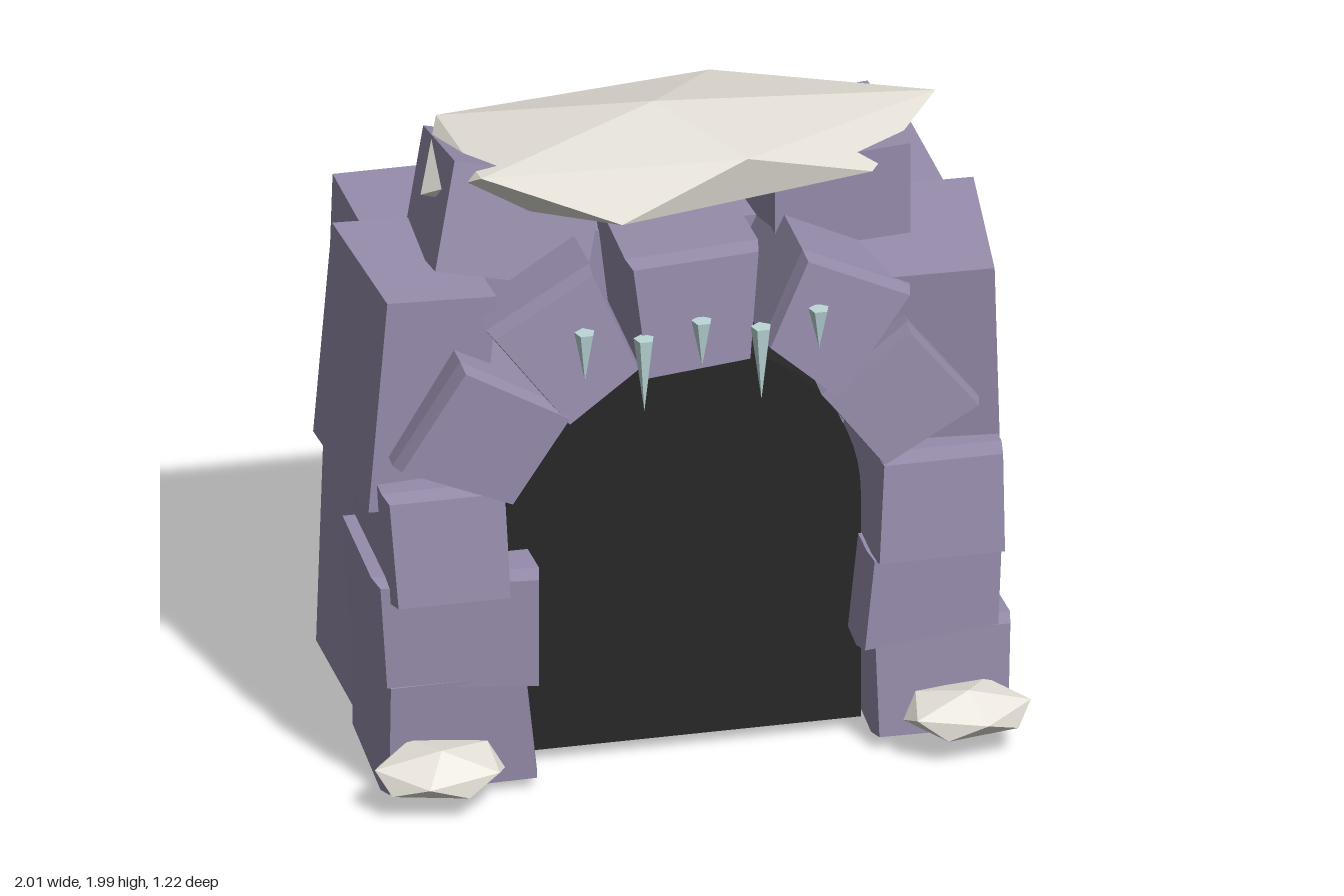
import * as THREE from 'three';

const mat = (name, color) => {
  const m = new THREE.MeshStandardMaterial({ color });
  m.name = name;
  return m;
};

// Non-indexed geometry from a list of triangles, so every face stays flat
function facets(tris) {
  const g = new THREE.BufferGeometry();
  g.setAttribute('position', new THREE.Float32BufferAttribute(tris.flat(2), 3));
  g.computeVertexNormals();
  return g;
}

// Rough stone: front outline (anticlockwise x, y), chamfered, swept back to zBack
function stoneGeometry(quad, zFront, zBack, { tiltX = 0, tiltY = 0, bevel = 0.06, swell = 1.06, back = 1, shift = 0 } = {}) {
  const cx = quad.reduce((s, p) => s + p[0], 0) / 4;
  const cy = quad.reduce((s, p) => s + p[1], 0) / 4;
  const ring = (scale, z, lean, dx) => quad.map(([x, y]) => [
    cx + (x - cx) * scale + dx,
    cy + (y - cy) * scale,
    z + lean * (tiltX * (x - cx) + tiltY * (y - cy)),
  ]);
  const rings = [ring(1, zFront, 1, 0), ring(swell, zFront - bevel, 1, 0), ring(back, zBack, 0, shift)];
  const [f, , b] = rings;
  const tris = [[f[0], f[1], f[2]], [f[0], f[2], f[3]], [b[0], b[2], b[1]], [b[0], b[3], b[2]]];
  for (let k = 0; k < 2; k++) {
    for (let i = 0; i < 4; i++) {
      const j = (i + 1) % 4, p = rings[k], q = rings[k + 1];
      tris.push([p[i], q[i], q[j]], [p[i], q[j], p[j]]);
    }
  }
  return facets(tris);
}

// Faceted boulder: two staggered rings of five points closed by a top and a bottom point
function boulderGeometry(top, upper, lower, bottom) {
  const tris = [];
  for (let i = 0; i < 5; i++) {
    const j = (i + 1) % 5;
    tris.push([top, upper[j], upper[i]], [upper[j], lower[i], upper[i]],
      [upper[j], lower[j], lower[i]], [bottom, lower[i], lower[j]]);
  }
  return facets(tris);
}

export function createModel() {
  const model = new THREE.Group();
  model.name = 'stoneGateway';
  const purple = mat('purpleStone', 0x978dac);
  const pale = mat('paleRock', 0xe2ded5);
  const dark = mat('darkOpening', 0x282828);
  const ice = mat('paleIce', 0xbcd8d8);

  const add = (name, geometry, material) => {
    const mesh = new THREE.Mesh(geometry, material);
    mesh.name = name;
    model.add(mesh);
    return mesh;
  };

  // Large block behind the arch
  add('backBlock', stoneGeometry([[-0.9, 0.04], [0.9, 0.015], [0.89, 1.575], [-0.85, 1.575]], -0.07, -0.61,
    { bevel: 0.01, swell: 1, shift: -0.01, tiltX: 0.01 }), purple);

  // Dark arched opening
  const arch = new THREE.Shape();
  arch.moveTo(-0.54, 0.05);
  arch.lineTo(0.54, 0.05);
  arch.lineTo(0.54, 0.79);
  arch.absarc(0, 0.79, 0.54, 0, Math.PI, false);
  arch.closePath();
  const opening = new THREE.ExtrudeGeometry(arch, { depth: 0.34, bevelEnabled: false, curveSegments: 16 });
  add('opening', opening.translate(0, 0, -0.08), dark);

  // Pillar stones, arch stones and keystone
  const stones = [
    ['rightPillarBase', [[-0.92, 0.02], [-0.48, 0.045], [-0.52, 0.4], [-0.92, 0.38]], 0.42, { tiltX: 0.08, tiltY: 0.06 }],
    ['rightPillarMiddle', [[-0.93, 0.38], [-0.48, 0.36], [-0.48, 0.71], [-0.95, 0.71]], 0.43, { tiltX: 0.1 }],
    ['rightPillarTop', [[-0.91, 0.67], [-0.57, 0.67], [-0.58, 1], [-0.93, 1]], 0.455, { tiltY: -0.1 }],
    ['leftPillarBase', [[0.56, 0.055], [0.95, 0.05], [0.96, 0.38], [0.55, 0.38]], 0.41, { tiltY: -0.04 }],
    ['leftPillarMiddle', [[0.51, 0.36], [0.92, 0.39], [0.93, 0.65], [0.54, 0.65]], 0.43, { tiltX: -0.06 }],
    ['leftPillarTop', [[0.55, 0.65], [0.93, 0.65], [0.93, 0.96], [0.57, 0.96]], 0.45, { tiltY: -0.08, bevel: 0.07 }],
    ['rightArchLower', [[-0.89, 1.1], [-0.56, 0.97], [-0.39, 1.24], [-0.7, 1.41]], 0.45, { tiltX: 0.08 }],
    ['rightArchUpper', [[-0.39, 1.22], [-0.18, 1.37], [-0.31, 1.68], [-0.61, 1.51]], 0.445, { tiltY: -0.1 }],
    ['keystone', [[-0.15, 1.34], [0.16, 1.37], [0.19, 1.71], [-0.19, 1.69]], 0.445, { tiltY: -0.06 }],
    ['leftArchUpper', [[0.22, 1.4], [0.43, 1.21], [0.65, 1.51], [0.34, 1.66]], 0.445, { tiltX: -0.06, tiltY: -0.06 }],
    ['leftArchLower', [[0.4, 1.2], [0.57, 0.97], [0.86, 1.12], [0.65, 1.39]], 0.445, { tiltX: -0.1 }],
  ];
  for (const [name, quad, z, options] of stones) add(name, stoneGeometry(quad, z, -0.09, options), purple);

  // Leaning slabs on both shoulders and the block under the capstone's right end
  const slabs = [
    ['leftShoulderSlab', [0.38, 0.67, 0.5], [0.77, 1.235, 0.08], [0.11, -0.1, 0.05]],
    ['rightShoulderSlab', [0.34, 0.69, 0.54], [-0.79, 1.255, 0.035], [0.02, 0.08, -0.08]],
    ['rightCapBlock', [0.46, 0.34, 0.42], [-0.47, 1.695, -0.05], [-0.2, 0, -0.22]],
  ];
  for (const [name, size, position, rotation] of slabs) {
    const slab = add(name, new THREE.BoxGeometry(...size), purple);
    slab.position.set(...position);
    slab.rotation.set(...rotation);
  }
  add('leftCapBlock', stoneGeometry([[0.31, 1.5], [0.72, 1.5], [0.72, 1.86], [0.31, 1.83]], 0.13, -0.3,
    { swell: 1, shift: -0.03 }), purple);

  // Wide faceted capstone
  add('capstone', boulderGeometry(
    [-0.02, 2, -0.04],
    [[0.84, 1.93, -0.06], [0.2, 1.925, 0.25], [-0.59, 1.91, 0.17], [-0.63, 1.92, -0.25], [0.22, 1.93, -0.34]],
    [[0.6, 1.79, 0.15], [-0.19, 1.77, 0.29], [-0.73, 1.78, -0.02], [-0.2, 1.78, -0.34], [0.6, 1.8, -0.22]],
    [0.05, 1.7, -0.02]), pale);

  // Small rocks at the foot of each pillar, tipped forward
  const footRock = (name, position, rx, ry, rz, turn) => {
    const ring = (offset, h) => Array.from({ length: 5 }, (_, i) => {
      const angle = turn + (i + offset) * Math.PI * 0.4;
      return [Math.cos(angle) * rx, h * ry, Math.sin(angle) * rz];
    });
    const rock = add(name, boulderGeometry([0, ry, 0], ring(0, 0.3), ring(0.5, -0.4), [0, -ry, 0]), pale);
    rock.position.set(...position);
    rock.rotation.x = 0.3;
  };
  footRock('rightFootRock', [-0.79, 0.145, 0.495], 0.2, 0.07, 0.12, 0.6);
  footRock('leftFootRock', [0.81, 0.155, 0.485], 0.19, 0.075, 0.11, 0.1);

  // Icicles along the arch
  const icicles = [[-0.345, 1.52, 0.16], [-0.165, 1.48, 0.24], [0.01, 1.52, 0.15], [0.19, 1.48, 0.24], [0.365, 1.52, 0.13]];
  for (const [x, top, length] of icicles) {
    const cone = new THREE.ConeGeometry(0.032, length, 5).rotateX(Math.PI).toNonIndexed();
    cone.computeVertexNormals();
    add('icicle', cone, ice).position.set(x, top - length / 2, 0.47);
  }

  return model;
}
